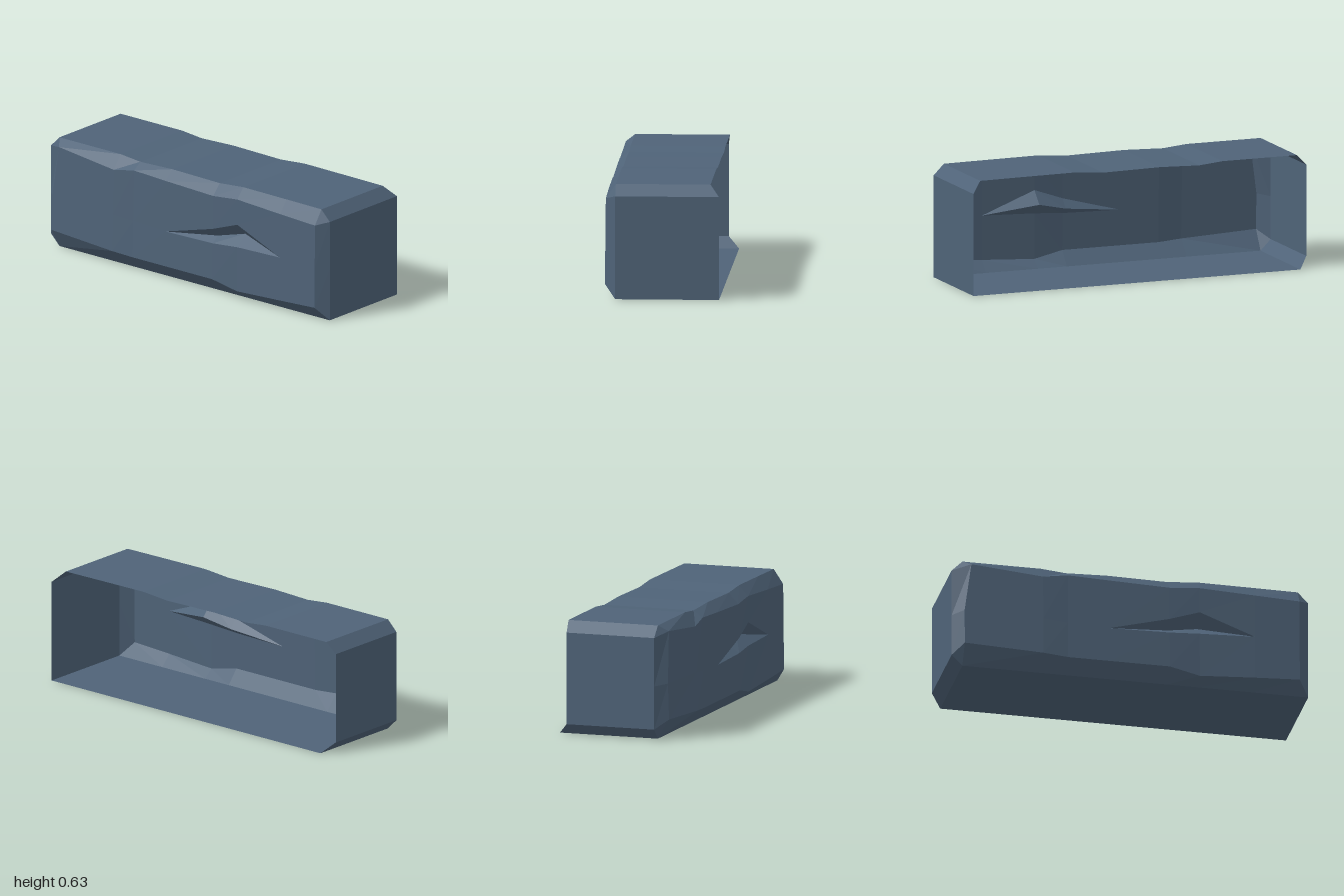
import * as THREE from 'three';

const slate = new THREE.MeshStandardMaterial({ color: 0x4f6378, flatShading: true, side: THREE.DoubleSide });
slate.name = 'slate blue';

// Cross-sections from front to back:
// z, top height, wall top y, wall foot y, wall top x, wall foot x, dent [upper, ridge, lower] y, dent depth
const stations = [
  [0.94, 0.63, 0.55, 0.075, -0.305, -0.31, [0.30, 0.30, 0.30], 0],
  [0.69, 0.632, 0.561, 0.062, -0.305, -0.31, [0.31, 0.31, 0.31], 0],
  [0.38, 0.634, 0.576, 0.045, -0.302, -0.305, [0.43, 0.36, 0.30], 0.07],
  [0.21, 0.62, 0.56, 0.08, -0.306, -0.315, [0.37, 0.32, 0.287], 0.045],
  [-0.13, 0.625, 0.571, 0.08, -0.305, -0.315, [0.28, 0.28, 0.28], 0],
  [-0.36, 0.617, 0.58, 0.08, -0.303, -0.315, [0.29, 0.29, 0.29], 0],
  [-0.50, 0.63, 0.555, 0.088, -0.31, -0.325, [0.30, 0.30, 0.30], 0],
  [-0.94, 0.63, 0.595, 0.11, -0.30, -0.315, [0.31, 0.31, 0.31], 0],
];

// Open C-shaped section: roof, chamfer, dented wall, chamfer, floor
function section([z, topY, upY, lowY, upX, lowX, dent, depth]) {
  const wallX = (y) => lowX + ((upX - lowX) * (y - lowY)) / (upY - lowY);
  const last = z === -0.94;
  return [
    [0.27, topY, z], [-0.25, topY, z],
    [upX, upY, last ? -0.9 : z],
    ...dent.map((y, i) => [wallX(y) + (i === 1 ? depth : 0), y, z]),
    [lowX, lowY, z],
    [-0.25, 0, z], [0.32, 0, z],
  ];
}

// Flat end section, bounding the front or back panel
function endSection(z, right, bottom) {
  const left = -0.25, top = 0.57;
  return [
    [right, top, z], [left, top, z], [left, top, z],
    [left, 0.3, z], [left, 0.3, z], [left, 0.3, z],
    [left, bottom, z], [left, bottom, z], [right, bottom, z],
  ];
}

// Mesh from quads, dropping collapsed triangles
function quadMesh(name, quads) {
  const pos = [];
  const v = (p) => new THREE.Vector3(...p);
  for (const [a, b, c, d] of quads) {
    for (const t of [[a, b, c], [a, c, d]]) {
      if (new THREE.Triangle(...t.map(v)).getArea() > 1e-6) pos.push(...t.flat());
    }
  }
  const g = new THREE.BufferGeometry();
  g.setAttribute('position', new THREE.Float32BufferAttribute(pos, 3));
  g.computeVertexNormals();
  const mesh = new THREE.Mesh(g, slate);
  mesh.name = name;
  return mesh;
}

export function createModel() {
  const group = new THREE.Group();
  group.name = 'hollowStoneBlock';

  const front = endSection(1, 0.32, 0);
  const back = endSection(-1, 0.26, 0.06);
  const sections = [front, ...stations.map(section), back];

  // Strips running front to back, with the chamfered ends included
  const strip = (name, from, to) => {
    const quads = [];
    for (let s = 0; s < sections.length - 1; s++) {
      const a = sections[s], b = sections[s + 1];
      for (let i = from; i < to; i++) quads.push([a[i], b[i], b[i + 1], a[i + 1]]);
    }
    group.add(quadMesh(name, quads));
  };
  strip('top', 0, 1);
  strip('topChamfer', 1, 2);
  strip('dentedSideWall', 2, 6);
  strip('bottomChamfer', 6, 7);
  strip('floor', 7, 8);

  // End panels
  group.add(quadMesh('frontPanel', [[front[0], front[1], front[7], front[8]]]));
  group.add(quadMesh('backPanel', [[back[8], back[7], back[1], back[0]]]));
  return group;
}
